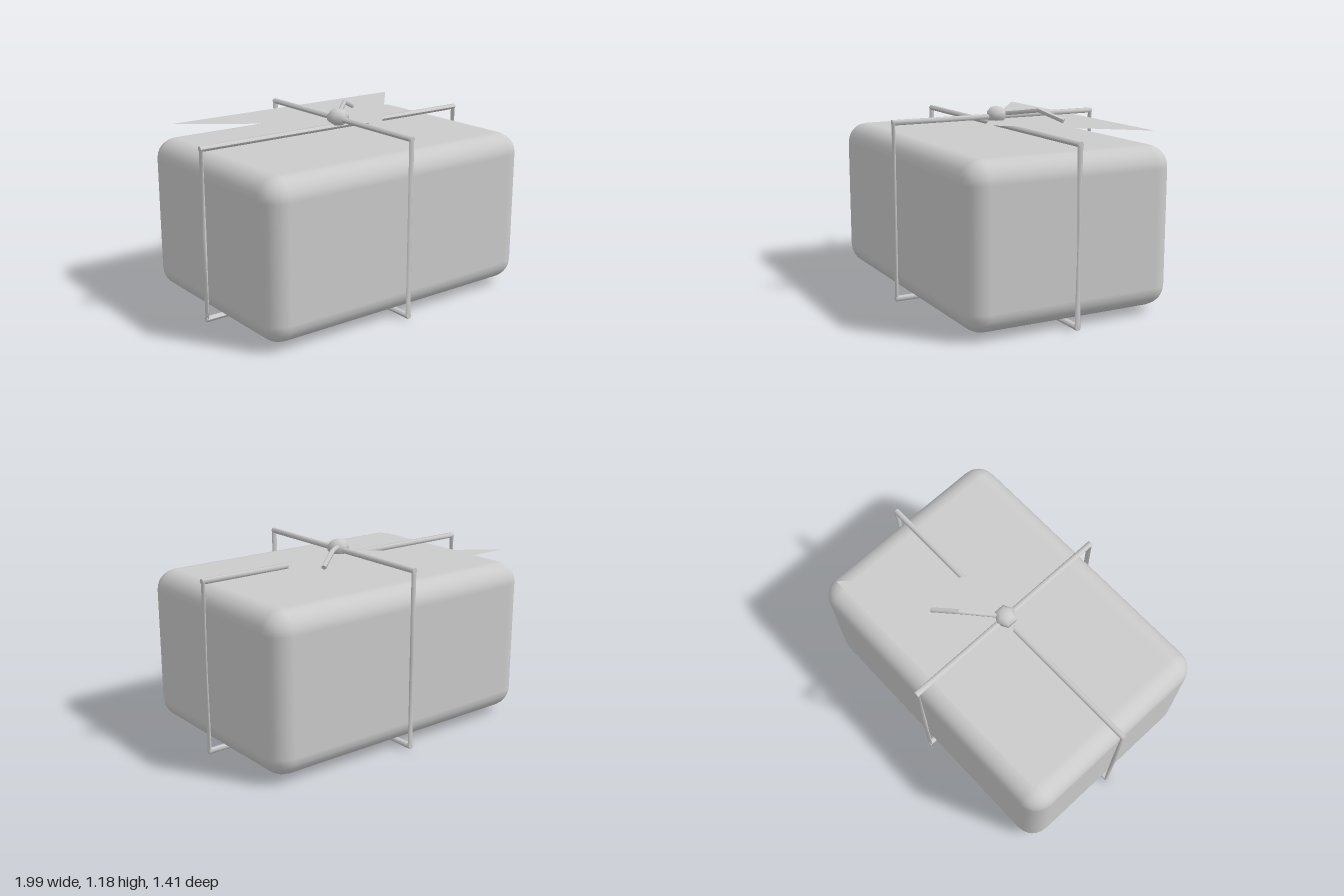
import * as THREE from 'three';
import { RoundedBoxGeometry } from 'three/addons/geometries/RoundedBoxGeometry.js';

const material = new THREE.MeshStandardMaterial({ color: 0xcccccc });
const doubleSided = new THREE.MeshStandardMaterial({ color: 0xcccccc, side: THREE.DoubleSide });
const UP = new THREE.Vector3(0, 1, 0);

function add(parent, name, geometry, mat = material) {
  const mesh = new THREE.Mesh(geometry, mat);
  mesh.name = name;
  parent.add(mesh);
  return mesh;
}

// Straight piece of six-sided string from a to b. `end` and `mid` are the
// [x, z] half widths at the tips and the middle.
function strand(parent, name, a, b, end, mid = end) {
  const from = new THREE.Vector3(...a), to = new THREE.Vector3(...b);
  const length = from.distanceTo(to);
  const geometry = new THREE.CylinderGeometry(1, 1, length, 6, 4);
  const p = geometry.attributes.position;
  for (let i = 0; i < p.count; i++) {
    const t = Math.abs(p.getY(i)) / (length / 2);
    p.setX(i, p.getX(i) * THREE.MathUtils.lerp(mid[0], end[0], t));
    p.setZ(i, p.getZ(i) * THREE.MathUtils.lerp(mid[1], end[1], t));
  }
  geometry.computeVertexNormals();
  const mesh = add(parent, name, geometry);
  mesh.position.copy(from).lerp(to, 0.5);
  mesh.quaternion.setFromUnitVectors(UP, to.clone().sub(from).normalize());
  return mesh;
}

// Rectangular loop of string in the x-y plane
function stringLoop(name, half, bottom, top, leftMid, rightMid) {
  const loop = new THREE.Group();
  loop.name = name;
  const r = [0.018, 0.018], end = [0.009, 0.019];
  const reach = half + 0.009;
  strand(loop, 'topString', [-reach, top, 0], [reach, top, 0], r);
  strand(loop, 'bottomString', [-reach, bottom, 0], [reach, bottom, 0], r);
  strand(loop, 'sideString', [half, bottom, 0], [half, top, 0], end, leftMid);
  strand(loop, 'sideString', [-half, bottom, 0], [-half, top, 0], end, rightMid);
  return loop;
}

export function createModel() {
  const model = new THREE.Group();
  model.name = 'parcel';

  // Soft-cornered body
  const body = add(model, 'body', new RoundedBoxGeometry(1.93, 0.97, 1.345, 3, 0.13));
  body.position.y = 0.525;

  // Two crossing loops of string
  model.add(stringLoop('lengthwiseString', 0.983, 0.02, 1.068, [0.006, 0.008], [0.015, 0.01]));
  const crosswise = stringLoop('crosswiseString', 0.695, 0.022, 1.115, [0.009, 0.018], [0.014, 0.014]);
  crosswise.rotation.y = -Math.PI / 2;
  model.add(crosswise);

  // Thin triangular paper flap, tucked between the two strings
  const outline = new THREE.Shape([[-0.86, 0.58], [0.2, -0.19], [0.87, 0.58]]
    .map(([x, y]) => new THREE.Vector2(x, y)));
  const flap = add(model, 'paperFlap', new THREE.ShapeGeometry(outline), doubleSided);
  flap.rotation.x = -Math.PI / 2;
  flap.position.y = 1.092;

  // Knot with its loose end
  const knot = add(model, 'knot', new THREE.SphereGeometry(1, 6, 5));
  knot.scale.set(0.07, 0.056, 0.072);
  knot.rotation.y = Math.PI / 2;
  knot.position.y = 1.124;
  const tail = new THREE.Group();
  tail.name = 'looseEnd';
  const r = [0.015, 0.015];
  strand(tail, 'innerTail', [0, 1.13, 0], [0.2, 1.163, -0.193], r);
  strand(tail, 'outerTail', [0.195, 1.165, -0.189], [0.338, 1.105, -0.288], r);
  model.add(tail);

  return model;
}
